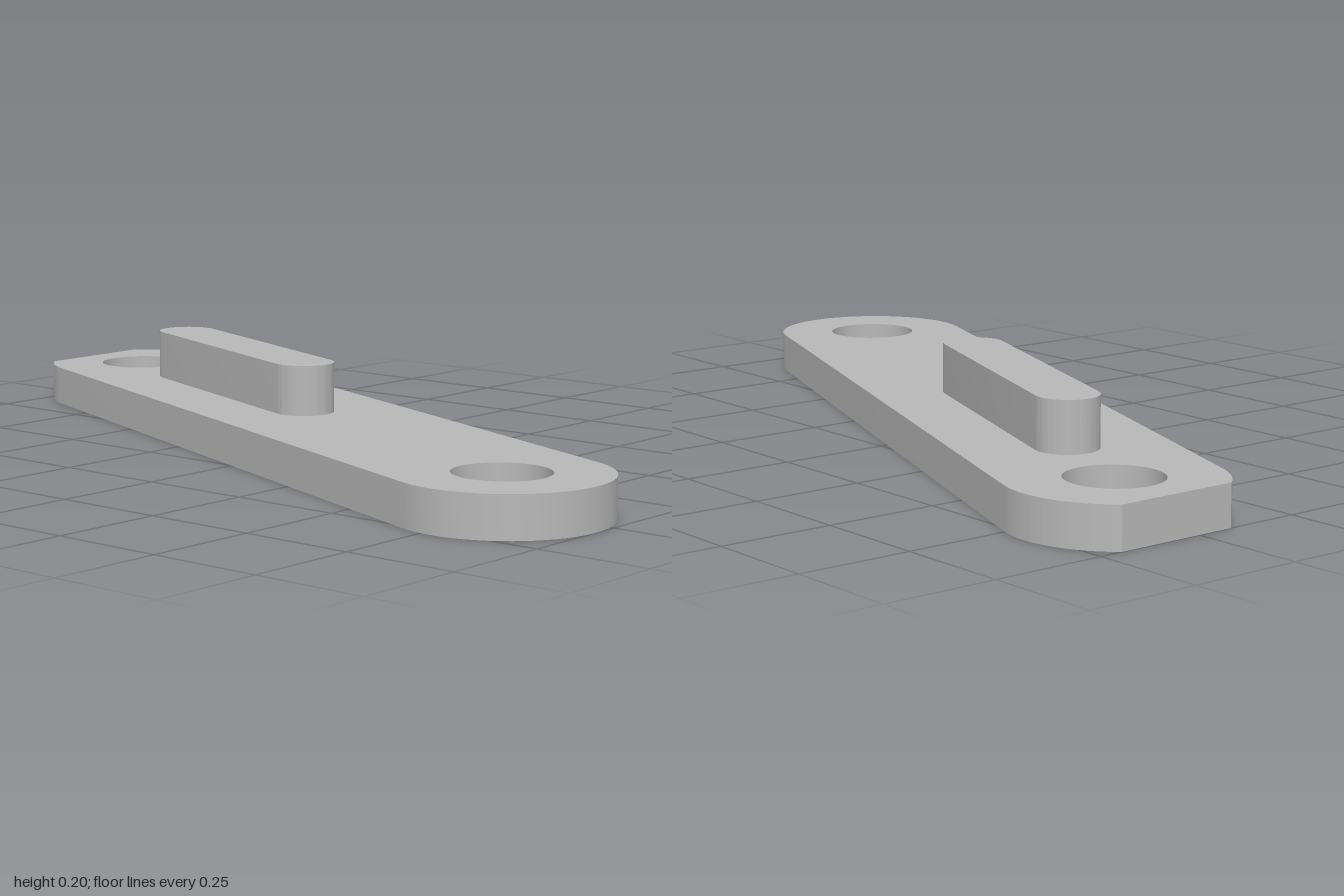
import * as THREE from 'three';
import { toCreasedNormals } from 'three/addons/utils/BufferGeometryUtils.js';

// Rounded link outline in plan (shape y = -z); `cut` optionally trims the far end flat
function linkShape(a, b, r, cut = Infinity) {
  const dir = Math.atan2(b[1] - a[1], b[0] - a[0]);
  const q = Math.PI / 2;
  const shape = new THREE.Shape();
  shape.absarc(a[0], a[1], r, dir + q, dir + 3 * q, false);
  if (cut < b[1] + r) {
    const t = Math.asin((cut - b[1]) / r);
    shape.absarc(b[0], b[1], r, dir - q, t, false);
    shape.absarc(b[0], b[1], r, Math.PI - t, dir + q, false);
  } else {
    shape.absarc(b[0], b[1], r, dir - q, dir + q, false);
  }
  shape.closePath();
  return shape;
}

// Extrude a plan outline upward from y0 to y1
function slab(name, shape, y0, y1, material) {
  const geo = new THREE.ExtrudeGeometry(shape, { depth: y1 - y0, bevelEnabled: false, curveSegments: 24 });
  geo.rotateX(-Math.PI / 2).translate(0, y0, 0);
  const mesh = new THREE.Mesh(toCreasedNormals(geo, 0.5), material);
  mesh.name = name;
  return mesh;
}

export function createModel() {
  const group = new THREE.Group();
  group.name = 'linkArm';
  const grey = new THREE.MeshStandardMaterial({ color: 0xb8b8b8 });
  grey.name = 'grey';

  // Flat arm with a bolt hole near each end and one trimmed tip
  const near = [-0.307, -0.774], far = [0.307, 0.823];
  const arm = linkShape(near, far, 0.226, 1);
  for (const [x, y] of [near, far]) {
    arm.holes.push(new THREE.Path().absarc(x, y, 0.102, 0, Math.PI * 2, true));
  }
  group.add(slab('arm', arm, 0, 0.09, grey));

  // Raised rib on the top face
  group.add(slab('rib', linkShape([-0.009, 0.003], [0.21, 0.572], 0.068), 0.09, 0.202, grey));
  return group;
}
